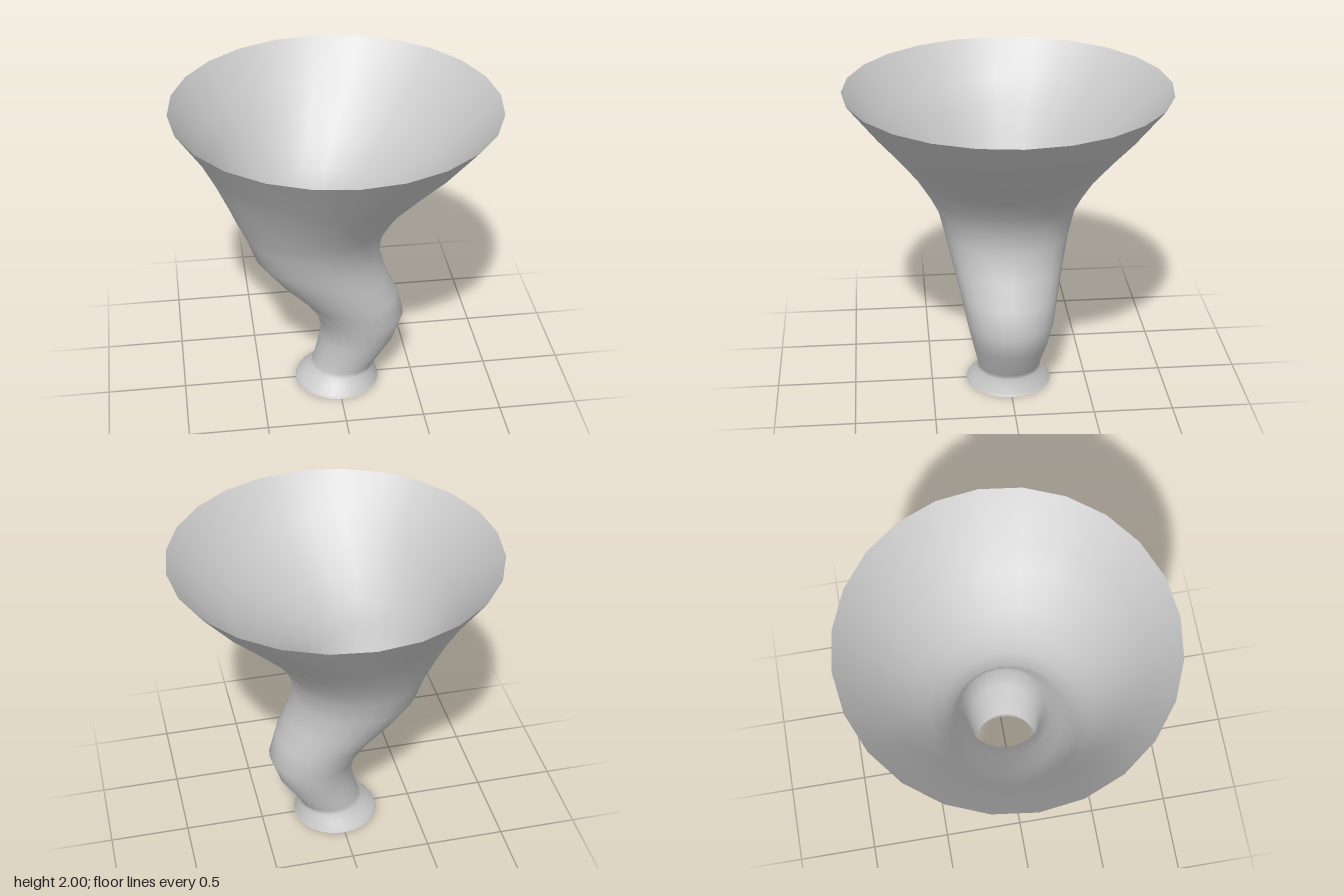
import * as THREE from 'three';
import { mergeVertices } from 'three/addons/utils/BufferGeometryUtils.js';

// Rings of the horn from foot to rim: [height, sideways shift, radius]
const RINGS = [
  [0, 0.005, 0.275], [0.02, 0.005, 0.265], [0.07, 0.025, 0.232], [0.11, 0.04, 0.207], [0.14, 0.05, 0.2],
  [0.34, 0.14, 0.24], [0.505, 0.16, 0.275], [0.67, 0.08, 0.31], [0.83, -0.035, 0.352], [1.0, -0.127, 0.395],
  [1.16, -0.142, 0.435], [1.29, -0.135, 0.5], [1.43, -0.112, 0.58], [1.6, -0.065, 0.7],
  [1.76, -0.022, 0.822], [2, 0, 1],
];
const SIDES = 24;

export function createModel() {
  const group = new THREE.Group();
  group.name = 'twistedHorn';

  // Turn the profile, then shift each ring along x to follow the winding axis
  let geometry = new THREE.LatheGeometry(RINGS.map(([y, , r]) => new THREE.Vector2(r, y)), SIDES);
  const position = geometry.attributes.position;
  for (let i = 0; i < position.count; i++) {
    position.setX(i, position.getX(i) + RINGS[i % RINGS.length][1]);
  }

  // Weld the seam so the shading is smooth all round
  geometry.deleteAttribute('normal');
  geometry.deleteAttribute('uv');
  geometry = mergeVertices(geometry, 1e-4);
  geometry.computeVertexNormals();

  // Thin open shell, seen from inside and outside
  const material = new THREE.MeshStandardMaterial({ color: 0xcccccc, side: THREE.DoubleSide });
  const shell = new THREE.Mesh(geometry, material);
  shell.name = 'hornShell';
  group.add(shell);
  return group;
}
